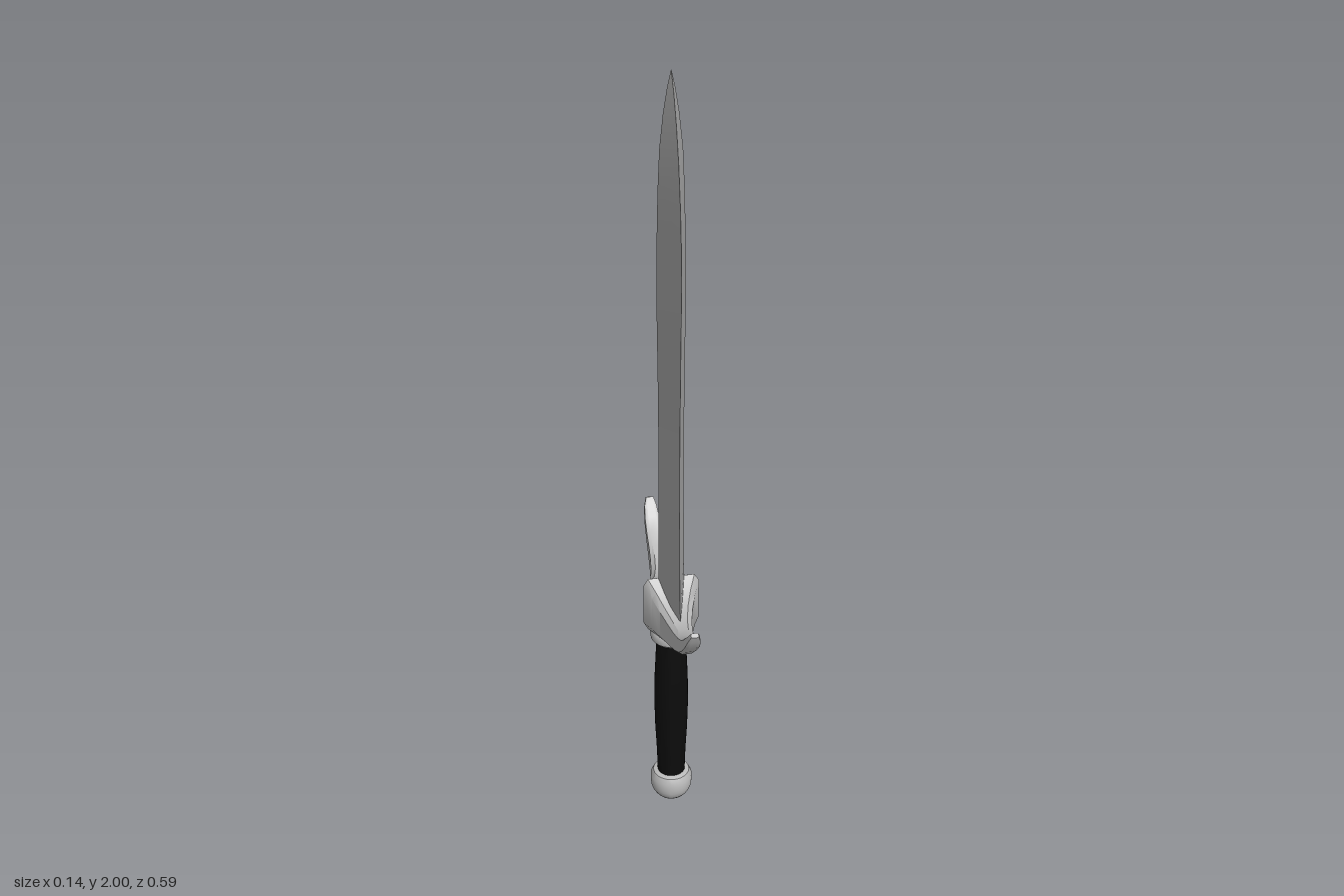
import * as THREE from 'three';
import { toCreasedNormals } from 'three/addons/utils/BufferGeometryUtils.js';

// Skin a list of equal-length closed rings, cap both ends, keep sharp edges
function loft(rings, creaseDegrees) {
  const n = rings[0].length;
  const index = [];
  for (let i = 0; i < rings.length - 1; i++) {
    for (let j = 0; j < n; j++) {
      const a = i * n + j, b = i * n + (j + 1) % n;
      index.push(a, b, b + n, a, b + n, a + n);
    }
  }
  const last = (rings.length - 1) * n;
  for (let j = 1; j < n - 1; j++) {
    index.push(0, j + 1, j);
    index.push(last, last + j, last + j + 1);
  }
  const geometry = new THREE.BufferGeometry();
  geometry.setAttribute('position', new THREE.Float32BufferAttribute(rings.flat(2), 3));
  geometry.setIndex(index);
  return toCreasedNormals(geometry, THREE.MathUtils.degToRad(creaseDegrees));
}

// Sharp-shouldered turned part from [radius, y] points
function turned(points) {
  const profile = points.map(([r, y]) => new THREE.Vector2(r, y));
  return toCreasedNormals(new THREE.LatheGeometry(profile, 32), 0.6);
}

export function createModel() {
  const bladeSteel = new THREE.MeshStandardMaterial({ color: 0xa8a8a8 });
  bladeSteel.name = 'blade steel';
  const guardSteel = new THREE.MeshStandardMaterial({ color: 0xbababa });
  guardSteel.name = 'guard steel';
  const blackLeather = new THREE.MeshStandardMaterial({ color: 0x0c0c0c });
  blackLeather.name = 'black leather';

  const sword = new THREE.Group();
  sword.name = 'sword';
  const add = (name, geometry, material) => {
    const mesh = new THREE.Mesh(geometry, material);
    mesh.name = name;
    sword.add(mesh);
  };

  // Leaf-shaped blade with a diamond section: y, half width (z), half thickness (x)
  const bladeStations = [
    [0.58, 0.117, 0.032], [0.64, 0.116, 0.032], [0.76, 0.107, 0.031], [0.92, 0.103, 0.03],
    [1.08, 0.104, 0.03], [1.24, 0.108, 0.031], [1.42, 0.116, 0.033], [1.54, 0.12, 0.033],
    [1.62, 0.118, 0.032], [1.72, 0.106, 0.03], [1.82, 0.085, 0.026], [1.9, 0.058, 0.018],
    [1.96, 0.029, 0.009], [2, 0.0005, 0.0005],
  ];
  add('blade', loft(bladeStations.map(([y, w, t]) =>
    [[t, y, 0], [0, y, -w], [-t, y, 0], [0, y, w]]), 20), bladeSteel);

  // Crescent guard: top z, top y, bottom z, bottom y, half thickness (x)
  const guardStations = [
    [0, 0.69, 0, 0.54, 0.068], [0.03, 0.668, 0.03, 0.543, 0.053], [0.065, 0.649, 0.068, 0.55, 0.04],
    [0.11, 0.64, 0.115, 0.565, 0.029], [0.15, 0.643, 0.16, 0.583, 0.023],
    [0.185, 0.653, 0.2, 0.608, 0.02], [0.22, 0.671, 0.236, 0.642, 0.019],
    [0.25, 0.695, 0.264, 0.674, 0.018], [0.272, 0.717, 0.283, 0.704, 0.015],
    [0.284, 0.733, 0.294, 0.727, 0.009],
  ];
  const guardRing = ([zt, yt, zb, yb, w]) => {
    const bevel = Math.min(0.011, w * 0.45);
    const section = [
      [w - bevel, 0], [w, 0.14], [w, 0.88], [w - bevel, 1],
      [bevel - w, 1], [-w, 0.88], [-w, 0.14], [bevel - w, 0],
    ];
    return section.map(([x, u]) =>
      [x, THREE.MathUtils.lerp(yb, yt, u), THREE.MathUtils.lerp(zb, zt, u)]);
  };
  const halfRings = guardStations.map(guardRing);
  const mirrored = halfRings.slice(1).reverse()
    .map((ring) => ring.map(([x, y, z]) => [x, y, -z]));
  add('crossguard', loft([...mirrored, ...halfRings], 35), guardSteel);

  // Collar between guard and grip
  add('collar', turned([
    [0, 0.503], [0.04, 0.503], [0.05, 0.513], [0.052, 0.525], [0.05, 0.537], [0.04, 0.55], [0, 0.55],
  ]), guardSteel);

  // Grip swelling in the middle
  add('grip', turned([
    [0, 0.08], [0.034, 0.08], [0.036, 0.15], [0.04, 0.23], [0.042, 0.31],
    [0.041, 0.39], [0.038, 0.46], [0.036, 0.51], [0, 0.51],
  ]), blackLeather);

  // Pommel: round underside with a bevelled flat top
  const pommel = [];
  for (let i = 0; i <= 8; i++) {
    const a = (i / 8) * Math.PI / 2;
    pommel.push([0.052 * Math.sin(a), 0.052 - 0.052 * Math.cos(a)]);
  }
  pommel.push([0.052, 0.072], [0.045, 0.086], [0.034, 0.09], [0, 0.09]);
  add('pommel', turned(pommel), guardSteel);

  return sword;
}
